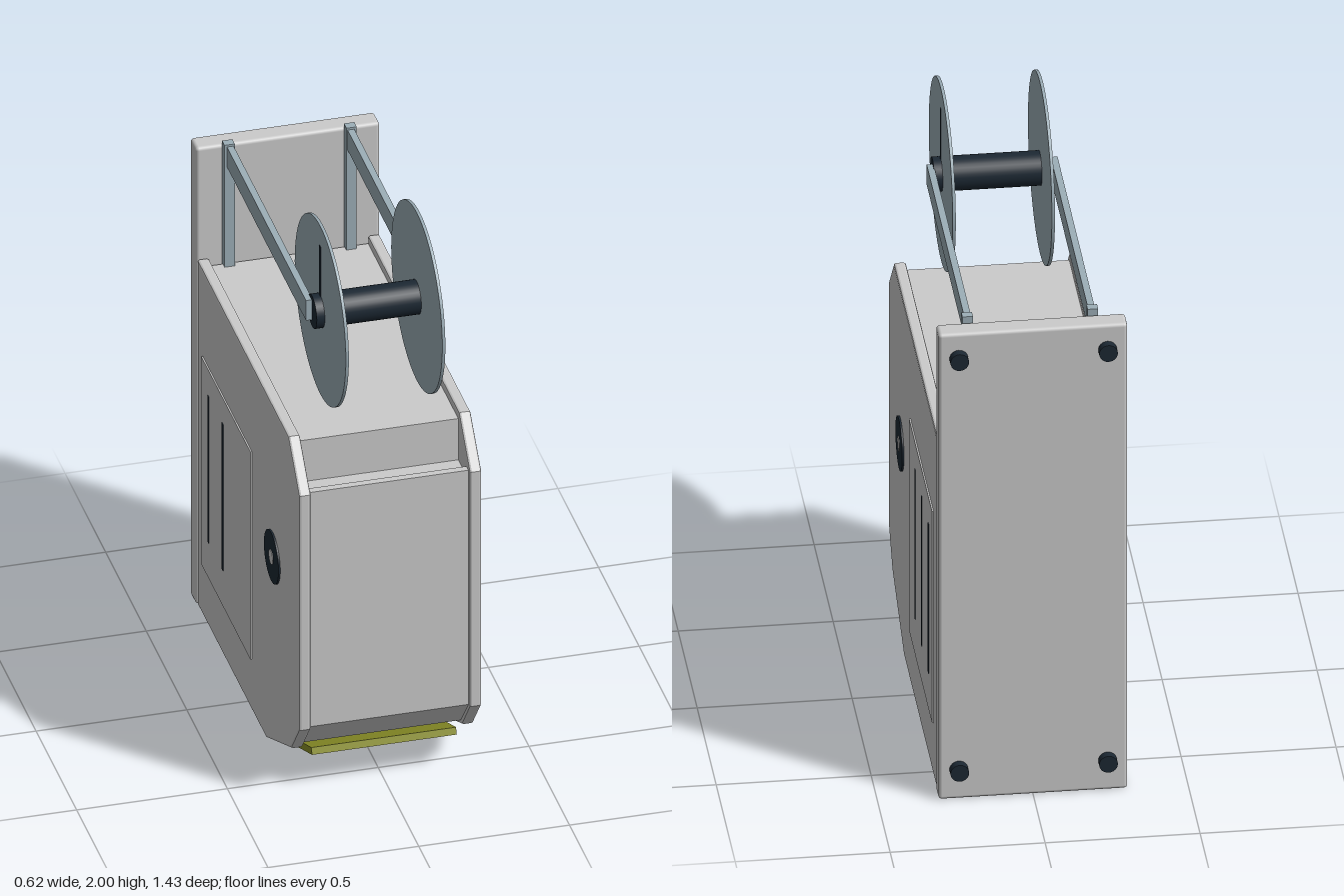
import * as THREE from 'three';
import { RoundedBoxGeometry } from 'three/addons/geometries/RoundedBoxGeometry.js';

const mat = (color) => new THREE.MeshStandardMaterial({ color });
const grey = mat(0xcccccc);
const dark = mat(0x1c2833);
const steel = mat(0x9dafb8);
const olive = mat(0x8c9128);
const black = mat(0x101a22);
const glass = mat(0x14303f);

export function createModel() {
  const model = new THREE.Group();

  const add = (name, geometry, material, x = 0, y = 0, z = 0, parent = model) => {
    const mesh = new THREE.Mesh(geometry, material);
    mesh.name = name;
    mesh.position.set(x, y, z);
    parent.add(mesh);
    return mesh;
  };
  const box = (w, h, d) => new THREE.BoxGeometry(w, h, d);

  // Extrudes a (z, y) outline across x, centred on x = 0
  const extrudeX = (points, width, bevel = 0) => {
    const shape = new THREE.Shape(points.map(([z, y]) => new THREE.Vector2(z, y)));
    const depth = width - 2 * bevel;
    return new THREE.ExtrudeGeometry(shape, {
      depth, bevelEnabled: bevel > 0, bevelThickness: bevel,
      bevelSize: bevel, bevelOffset: -bevel, bevelSegments: 2,
    }).translate(0, 0, -depth / 2).rotateY(-Math.PI / 2);
  };
  // Cylinder lying along x
  const rodX = (radius, length, sides = 32) =>
    new THREE.CylinderGeometry(radius, radius, length, sides).rotateZ(Math.PI / 2);

  // Housing: front, lower chamfers and bottom in one folded sheet, open below at the rear
  add('frontAndBottomShell', extrudeX([
    [0.635, 1.155], [0.61, 1.155], [0.61, 0.285], [0.525, 0.185], [0.23, 0.05], [-0.27, 0.05],
    [-0.27, 0.025], [0.235, 0.025], [0.54, 0.16], [0.635, 0.275],
  ], 0.53), grey);
  add('topPlate', box(0.53, 0.03, 1.11), grey, 0, 1.26, -0.045);
  add('recessWall', box(0.53, 0.16, 0.02), grey, 0, 1.17, 0.5);
  add('recessFloor', box(0.53, 0.02, 0.12), grey, 0, 1.11, 0.56);
  add('innerBlock', box(0.2, 0.15, 0.18), steel, 0, 0.2, -0.4);

  // Back plate with four feet
  add('backPlate', new RoundedBoxGeometry(0.61, 1.715, 0.073, 2, 0.012), grey, 0, 0.8575, -0.6485);
  for (const x of [-0.24, 0.24]) {
    for (const y of [0.11, 1.625]) {
      add('foot', new THREE.CylinderGeometry(0.03, 0.03, 0.03, 24).rotateX(Math.PI / 2), dark, x, y, -0.699);
    }
  }

  // Parts found on both sides
  const sideOutline = [
    [-0.605, 0.007], [0.24, 0.007], [0.55, 0.15], [0.65, 0.275],
    [0.65, 1.155], [0.515, 1.3], [-0.605, 1.3],
  ];
  for (const s of [-1, 1]) {
    add('sidePanel', extrudeX(sideOutline, 0.04, 0.008), grey, s * 0.283);
    add('accessDoor', box(0.008, 0.78, 0.605), grey, s * 0.304, 0.59, -0.233);
    const slots = s > 0 ? [-0.445, -0.27, -0.095] : [-0.445, -0.27];
    for (const z of slots) add('ventSlot', box(0.004, 0.55, 0.014), dark, s * 0.308, 0.61, z);

    add('sideKnob', rodX(0.09, 0.012, 48), dark, s * 0.303, 0.74, 0.33);
    add('knobCentre', rodX(0.025, 0.006), grey, s * 0.308, 0.74, 0.33);

    // Spool holder and spool flange
    add('upright', box(0.034, 0.47, 0.03), steel, s * 0.202, 1.498, -0.594);
    add('spoolArm', box(0.022, 0.075, 0.99), steel, s * 0.2, 1.688, -0.1);
    add('spoolFlange', rodX(0.315, 0.01, 64), steel, s * 0.16, 1.685, 0.4);
    add('flangeSlot', box(0.004, 0.235, 0.014), dark, s * 0.165, 1.808, 0.4);
  }
  add('spoolAxle', rodX(0.057, 0.384), dark, 0, 1.685, 0.4);

  // Display on the lower front slope
  const display = new THREE.Group();
  display.name = 'display';
  display.position.set(0.0, 0.077, 0.418);
  display.rotation.x = -0.4;
  model.add(display);
  add('displayFrame', box(0.48, 0.024, 0.335), olive, 0, 0, 0, display);
  add('displayBezel', box(0.36, 0.004, 0.2), black, 0, -0.0125, 0, display);
  add('displayScreen', box(0.31, 0.004, 0.14), glass, 0, -0.0145, 0, display);

  return model;
}
